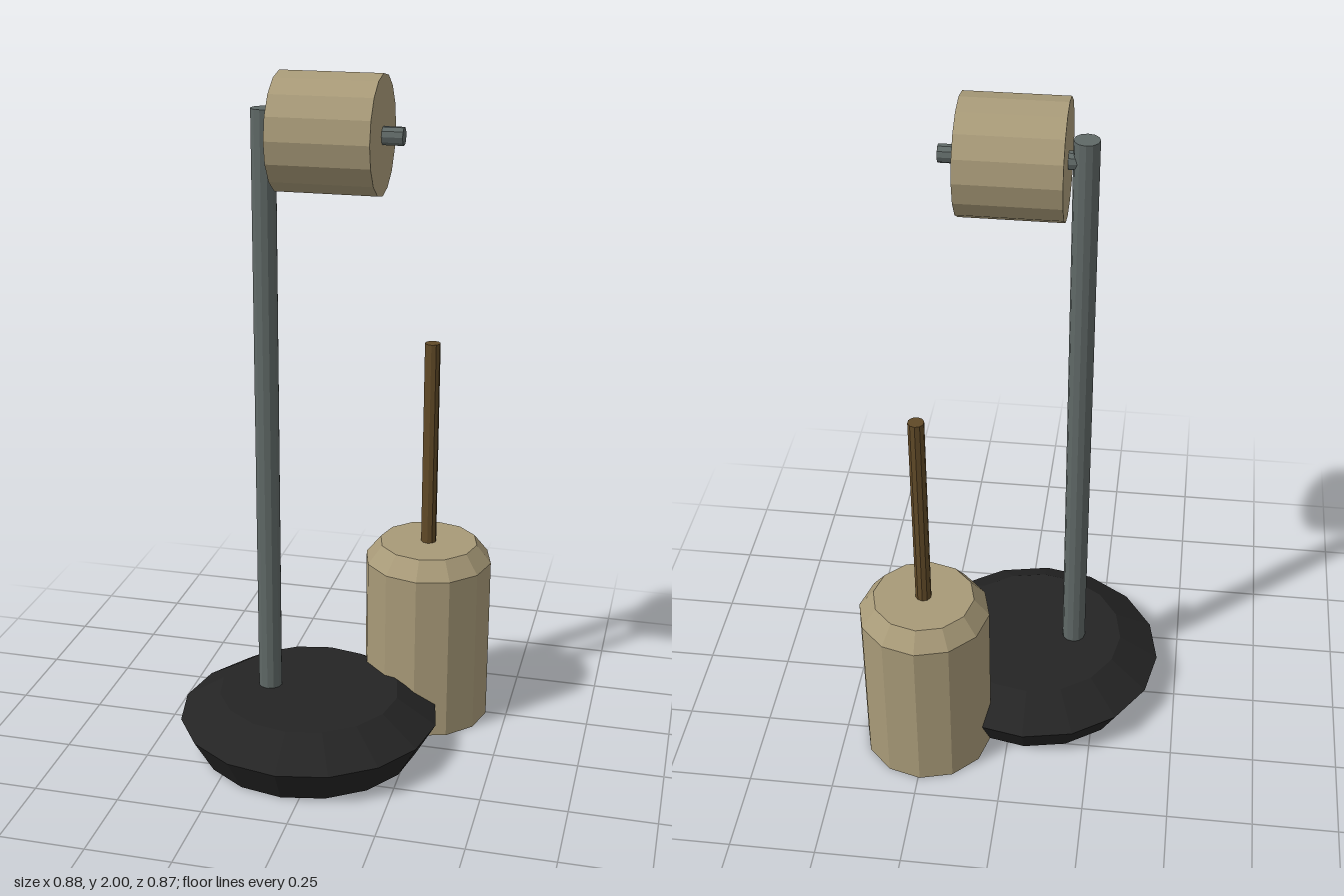
import * as THREE from 'three';

const makeMaterial = (name, color) => {
  const m = new THREE.MeshStandardMaterial({ color, flatShading: true });
  m.name = name;
  return m;
};

export function createModel() {
  const group = new THREE.Group();
  const tan = makeMaterial('tan', 0xa89a78);
  const black = makeMaterial('black', 0x242424);
  const steel = makeMaterial('steel', 0x5f6866);
  const brown = makeMaterial('brown', 0x604927);

  const add = (name, geometry, material, x, y, z) => {
    const mesh = new THREE.Mesh(geometry, material);
    mesh.name = name;
    mesh.position.set(x, y, z);
    group.add(mesh);
    return mesh;
  };

  // Closed solid of revolution from [radius, height] pairs
  const lathe = (pairs, sides) =>
    new THREE.LatheGeometry(pairs.map(([r, y]) => new THREE.Vector2(r, y)), sides);

  // Upright rod between two heights
  const rod = (name, r, y0, y1, sides, material, x, z) =>
    add(name, new THREE.CylinderGeometry(r, r, y1 - y0, sides), material, x, (y0 + y1) / 2, z);

  // Cylinder lying along x
  const bar = (name, r, x0, x1, sides, material, y, z) => {
    const g = new THREE.CylinderGeometry(r, r, x1 - x0, sides).rotateZ(Math.PI / 2);
    return add(name, g, material, (x0 + x1) / 2, y, z);
  };

  // Stand with weighted base
  add('base', lathe([[0, 0], [0.325, 0], [0.385, 0.105], [0.267, 0.18], [0, 0.18]], 16),
    black, -0.053, 0, 0.05);
  rod('post', 0.035, 0.1, 1.9, 12, steel, -0.173, 0.05);
  bar('arm', 0.025, -0.173, 0.212, 10, steel, 1.84, 0.05);
  bar('paperRoll', 0.162, -0.127, 0.155, 16, tan, 1.84, 0.05);

  // Brush holder with its handle
  add('brushHolder', lathe([[0, 0], [0.192, 0], [0.192, 0.51], [0.148, 0.565], [0, 0.565]], 12),
    tan, 0.245, 0, -0.246);
  rod('brushHandle', 0.023, 0.5, 1.19, 10, brown, 0.245, -0.246);

  return group;
}
